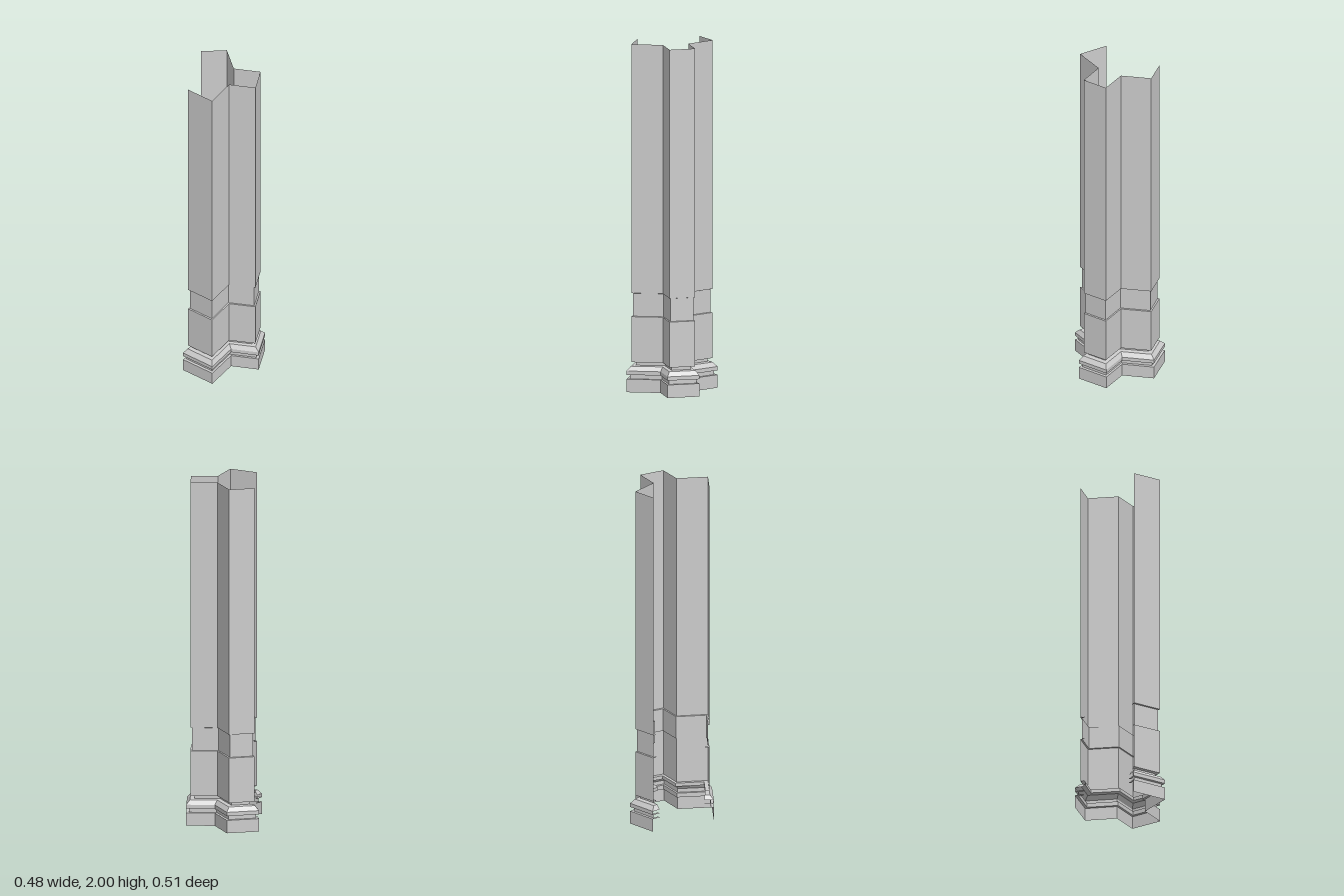
import * as THREE from 'three';

// Plan of the zigzag wall as [x, z] corners: deepest groove line and widest plinth line.
// The first and last corner are the short returns at the open ends.
const inner = [[-0.189, -0.054], [-0.189, -0.054], [-0.193, 0.079], [-0.029, 0.066], [0.033, 0.196],
  [0.136, 0.148], [0.075, 0.016], [0.182, -0.11], [0.1125, -0.19], [0.1125, -0.19]];
const outer = [[-0.182, -0.089], [-0.235, -0.092], [-0.241, 0.117], [-0.046, 0.107], [0.02, 0.252],
  [0.188, 0.174], [0.12, 0.027], [0.241, -0.11], [0.123, -0.255], [0.082, -0.225]];

const material = new THREE.MeshStandardMaterial({ color: 0xcccccc, flatShading: true, side: THREE.DoubleSide });

// Point on corner i; t = -1 is the groove line, 0 the shaft, 1 the plinth.
function corner(i, [t, y]) {
  const k = (t + 1) / 2;
  return [
    THREE.MathUtils.lerp(inner[i][0], outer[i][0], k), y,
    THREE.MathUtils.lerp(inner[i][1], outer[i][1], k),
  ];
}

// Sweeps a [t, y] profile along the plan; only ledges and slopes run on into the returns.
function sweep(name, profile) {
  const positions = [];
  for (let p = 0; p < profile.length - 1; p++) {
    const low = profile[p], high = profile[p + 1];
    const skip = low[0] === high[0] ? 1 : 0;
    for (let i = skip; i < inner.length - 1 - skip; i++) {
      const a = corner(i, low), b = corner(i + 1, low);
      const c = corner(i + 1, high), d = corner(i, high);
      positions.push(...a, ...b, ...c, ...a, ...c, ...d);
    }
  }
  const geometry = new THREE.BufferGeometry();
  geometry.setAttribute('position', new THREE.Float32BufferAttribute(positions, 3));
  geometry.computeVertexNormals();
  const mesh = new THREE.Mesh(geometry, material);
  mesh.name = name;
  return mesh;
}

export function createModel() {
  const group = new THREE.Group();
  group.name = 'pillarShell';
  group.add(
    sweep('plinth', [[1, 0], [1, 0.075], [0.3, 0.075]]),
    sweep('lowerGroove', [[0.3, 0.075], [0.3, 0.1]]),
    sweep('baseMoulding', [[0.3, 0.1], [1, 0.1], [1, 0.122], [0.1, 0.147]]),
    sweep('neck', [[0.1, 0.147], [-1, 0.15], [-1, 0.17], [0, 0.17]]),
    sweep('lowerShaft', [[0, 0.17], [0, 0.432]]),
    sweep('recessedBand', [[0, 0.432], [-0.35, 0.434], [-0.35, 0.566], [0, 0.568]]),
    sweep('upperShaft', [[0, 0.568], [0, 2]]),
  );
  return group;
}
